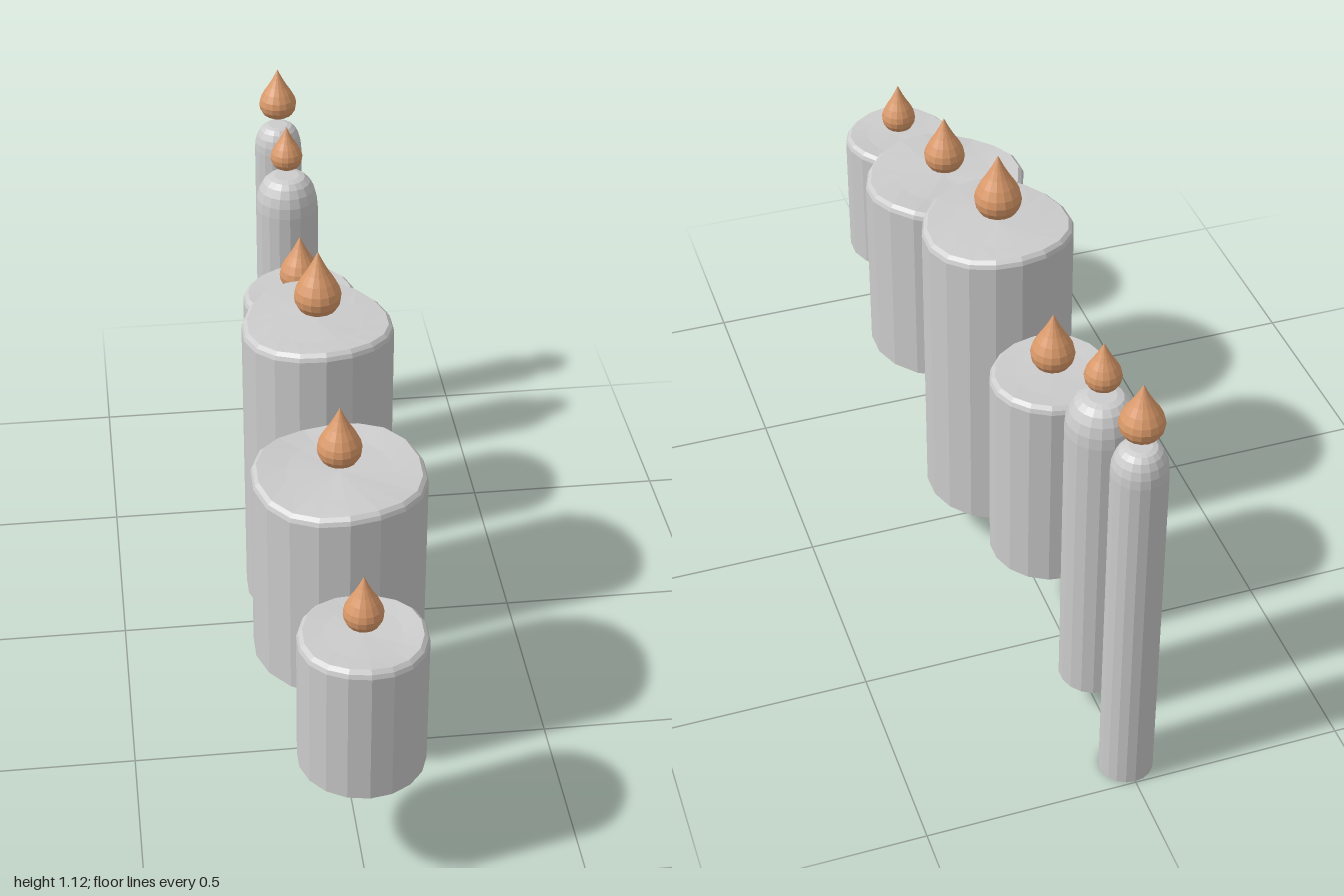
import * as THREE from 'three';

const wax = new THREE.MeshStandardMaterial({ color: 0xcccccc, flatShading: true });
const fire = new THREE.MeshStandardMaterial({ color: 0xdb9a6a, flatShading: true });

const lathe = (pairs, sides) =>
  new THREE.LatheGeometry(pairs.map(([r, y]) => new THREE.Vector2(r, y)), sides);

// Wide candle: bevelled rim whose height waves around the edge
function pillar(r, y0, y1, wave) {
  const geo = lathe([[0, y0], [r, y0], [r, y1 - 0.018], [r - 0.004, y1 - 0.008],
    [r - 0.013, y1], [r * 0.6, y1 - 0.003], [0, y1 - 0.004]], 18);
  const p = geo.attributes.position;
  for (let i = 0; i < p.count; i++) {
    if (p.getY(i) < y1 - 0.05) continue;
    const x = p.getX(i), z = p.getZ(i);
    const weight = Math.min(1, Math.hypot(x, z) / (r - 0.013)) ** 2;
    p.setY(i, p.getY(i) + weight * wave(Math.atan2(x, z)));
  }
  return geo;
}

// Thin candle: straight shaft with a rounded shoulder and small flat tip
function taper(r, y0, y1) {
  const profile = [[0, y0], [r, y0]];
  const drop = r * 1.1;
  for (let i = 0; i <= 5; i++) {
    const a = (i / 5) * Math.PI / 2;
    profile.push([r * (0.4 + 0.6 * Math.cos(a)), y1 - drop + drop * Math.sin(a)]);
  }
  profile.push([0, y1]);
  return lathe(profile, 18);
}

// Teardrop flame of unit height, scaled per candle
function flame(r, h) {
  return lathe([[0, 0], [0.5, 0.02], [0.78, 0.08], [0.95, 0.18], [1, 0.29], [0.93, 0.4],
    [0.74, 0.53], [0.5, 0.66], [0.29, 0.79], [0.12, 0.91], [0, 1]]
    .map(([a, b]) => [a * r, b * h]), 16);
}

export function createModel() {
  const group = new THREE.Group();
  // z, radius, bottom, top, flame bottom, flame top, flame radius, rim wave (none = taper)
  const candles = [
    [0.853, 0.145, 0.285, 0.635, 0.65, 0.785, 0.045, a => 0.004 * Math.sin(3 * a + 2)],
    [0.43, 0.203, 0.27, 0.767, 0.785, 0.935, 0.052, a => 0.008 * Math.sin(3 * a + 0.8)],
    [0, 0.183, 0.12, 0.906, 0.925, 1.09, 0.057, a => 0.011 * Math.cos(2 * a - 0.4)],
    [-0.395, 0.146, 0.23, 0.748, 0.76, 0.91, 0.052, a => 0.004 * Math.cos(2 * a + 1)],
    [-0.71, 0.082, 0.09, 0.92, 0.94, 1.06, 0.042],
    [-0.934, 0.063, 0, 0.957, 0.98, 1.118, 0.05],
  ];
  candles.forEach(([z, r, y0, y1, f0, f1, fr, wave], i) => {
    const candle = new THREE.Group();
    candle.name = `candle${i + 1}`;
    candle.position.z = z;
    const body = new THREE.Mesh(wave ? pillar(r, y0, y1, wave) : taper(r, y0, y1), wax);
    body.name = wave ? 'pillarWax' : 'taperWax';
    const tip = new THREE.Mesh(flame(fr, f1 - f0), fire);
    tip.name = 'flame';
    tip.position.y = f0;
    candle.add(body, tip);
    group.add(candle);
  });
  return group;
}
